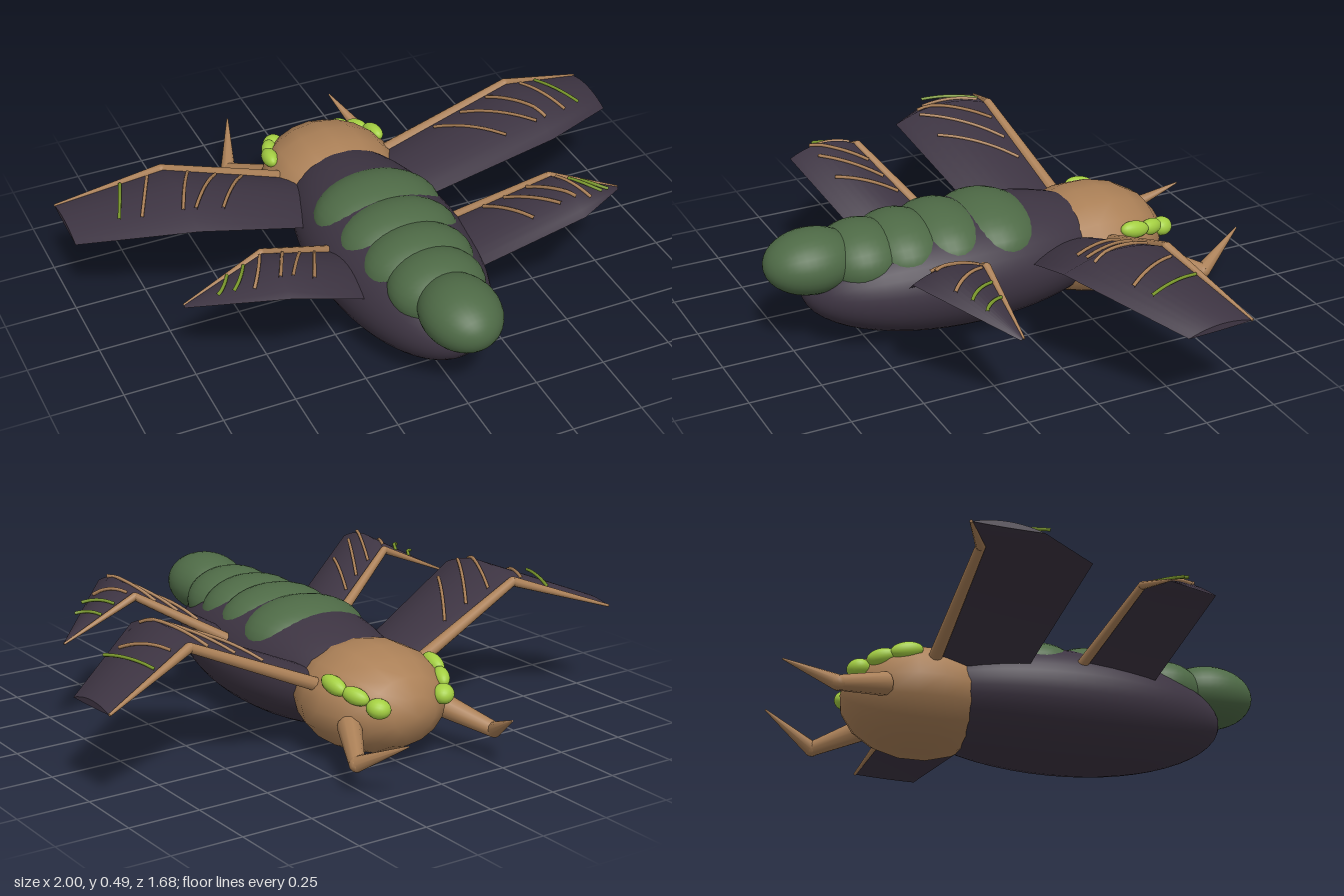
import * as THREE from 'three';

const mat = (name, color) => Object.assign(new THREE.MeshStandardMaterial({ color }), { name });
const V = (p) => new THREE.Vector3(...p);

export function createModel() {
  const shell = mat('dark shell', 0x3d3442);
  const moss = mat('moss green', 0x4e6a46);
  const tan = mat('tan', 0xab8057);
  const lime = mat('lime', 0xa4cf42);
  const olive = mat('olive', 0x7a982c);
  shell.side = THREE.DoubleSide;

  const model = new THREE.Group();
  model.name = 'flyingBeetle';

  const add = (parent, name, geo, material) => {
    const m = new THREE.Mesh(geo, material);
    m.name = name;
    parent.add(m);
    return m;
  };
  // Ellipsoid with its poles along z
  const blob = (parent, name, c, r, material, w = 32, h = 20) => {
    const g = new THREE.SphereGeometry(1, w, h).rotateX(Math.PI / 2).scale(...r);
    const m = add(parent, name, g, material);
    m.position.set(...c);
    return m;
  };
  // Tapered rod between two points
  const rod = (parent, name, a, b, ra, rb, material) => {
    const A = V(a), B = V(b), d = B.clone().sub(A);
    const m = add(parent, name, new THREE.CylinderGeometry(rb, ra, d.length(), 10), material);
    m.position.copy(A).add(B).multiplyScalar(0.5);
    m.quaternion.setFromUnitVectors(V([0, 1, 0]), d.normalize());
  };

  // Body, head and back plates
  blob(model, 'body', [0, 0.207, 0.13], [0.267, 0.205, 0.58], shell, 40, 28);
  blob(model, 'head', [0, 0.19, -0.354], [0.247, 0.184, 0.268], tan, 16, 9);
  [
    [0.04, 0.30, 0.225, 0.128, 0.18],
    [0.21, 0.303, 0.212, 0.128, 0.16],
    [0.36, 0.303, 0.192, 0.125, 0.155],
    [0.50, 0.308, 0.165, 0.117, 0.15],
    [0.675, 0.325, 0.132, 0.108, 0.163],
  ].forEach(([z, y, rx, ry, rz], i) =>
    blob(model, i < 4 ? 'backPlate' : 'tail', [0, y, z], [rx, ry, rz], moss));

  // Wing point: s runs over the stations, t from leading to trailing edge, arch scales the camber
  const wingPoint = (stations, s, t, arch, lift = 0) => {
    const i = Math.min(Math.floor(s), stations.length - 2);
    const f = s - i, a = stations[i], b = stations[i + 1];
    const p = V(a.lead).lerp(V(b.lead), f);
    p.lerp(V(a.trail).lerp(V(b.trail), f), t);
    p.y += 4 * t * (1 - t) * arch * THREE.MathUtils.lerp(a.camber, b.camber, f) + lift;
    return p;
  };

  // Wing panel: arched top, nearly flat underside and a tip cap
  const wingGeometry = (stations) => {
    const n = 10, pos = [], idx = [], row = n + 1, rows = stations.length;
    for (const arch of [1, -0.1]) {
      const base = pos.length / 3;
      for (let s = 0; s < rows; s++) {
        for (let k = 0; k <= n; k++) pos.push(...wingPoint(stations, s, k / n, arch).toArray());
      }
      for (let s = 0; s < rows - 1; s++) {
        for (let k = 0; k < n; k++) {
          const a = base + s * row + k, b = a + 1, c = a + row, d = c + 1;
          if (arch > 0) idx.push(a, b, c, b, d, c);
          else idx.push(a, c, b, b, c, d);
        }
      }
    }
    const cap = pos.length / 3;
    for (const arch of [1, -0.1]) {
      for (let k = 0; k <= n; k++) pos.push(...wingPoint(stations, rows - 1, k / n, arch).toArray());
    }
    for (let k = 0; k < n; k++) {
      const a = cap + k, b = a + 1, c = a + row, d = c + 1;
      idx.push(a, b, c, b, d, c);
    }
    const g = new THREE.BufferGeometry();
    g.setAttribute('position', new THREE.Float32BufferAttribute(pos, 3));
    g.setIndex(idx);
    g.computeVertexNormals();
    return g;
  };

  // Vein lines are given as s and t at the start, then s and t at the end
  const wings = {
    frontWing: {
      stations: [
        { lead: [0.18, 0.25, -0.345], trail: [0.18, 0.235, -0.04], camber: 0.045 },
        { lead: [0.65, 0.455, -0.29], trail: [0.65, 0.44, 0.08], camber: 0.04 },
        { lead: [1.0, 0.335, -0.40], trail: [1.0, 0.325, -0.17], camber: 0.02 },
      ],
      radii: [0.024, 0.017, 0.005],
      tan: [[0.4, 0.14, 0.74, 0.78], [0.61, 0.13, 0.96, 0.78], [0.82, 0.1, 1.06, 0.78], [1.16, 0.1, 1.4, 0.78]],
      olive: [[1.4, 0.06, 1.6, 0.84]],
    },
    rearWing: {
      stations: [
        { lead: [0.17, 0.25, 0.13], trail: [0.17, 0.235, 0.4], camber: 0.04 },
        { lead: [0.52, 0.455, 0.285], trail: [0.52, 0.45, 0.54], camber: 0.035 },
        { lead: [0.79, 0.335, 0.29], trail: [0.79, 0.33, 0.30], camber: 0.002 },
      ],
      radii: [0.02, 0.014, 0.004],
      tan: [[0.4, 0.12, 0.64, 0.75], [0.58, 0.12, 0.88, 0.72], [0.78, 0.1, 1.02, 0.72], [1.05, 0.1, 1.3, 0.8]],
      olive: [[1.25, 0.08, 1.52, 0.9], [1.45, 0.05, 1.68, 0.95]],
    },
  };

  const side = new THREE.Group();
  side.name = 'leftSide';
  for (const [name, w] of Object.entries(wings)) {
    const g = new THREE.Group();
    g.name = name;
    side.add(g);
    add(g, name + 'Panel', wingGeometry(w.stations), shell);
    // Leading-edge bone
    const pts = w.stations.map((s) => s.lead);
    for (let i = 0; i < 2; i++) rod(g, 'wingBone', pts[i], pts[i + 1], w.radii[i], w.radii[i + 1], tan);
    blob(g, 'wingJoint', pts[1], [w.radii[1], w.radii[1], w.radii[1]], tan, 12, 8);
    // Veins resting on the panel; the outer ones lift at their ends
    for (const [key, material, rise] of [['tan', tan, 0.004], ['olive', olive, 0.03]]) {
      for (const [s0, t0, s1, t1] of w[key]) {
        const line = [0, 0.2, 0.4, 0.6, 0.8, 1].map((f) => wingPoint(w.stations,
          THREE.MathUtils.lerp(s0, s1, f), THREE.MathUtils.lerp(t0, t1, f), 1, 0.004 + rise * f * f));
        add(g, 'wingVein', new THREE.TubeGeometry(new THREE.CatmullRomCurve3(line), 10, 0.006, 6), material);
      }
    }
  }

  // Row of eyes
  [
    [[0.2, 0.284, -0.435], [0.028, 0.03, 0.056], 0.1],
    [[0.172, 0.264, -0.515], [0.027, 0.029, 0.05], 0.4],
    [[0.13, 0.233, -0.583], [0.036, 0.033, 0.041], 0.7],
  ].forEach(([c, r, turn]) => {
    const e = blob(side, 'eye', c, r, lime, 20, 14);
    e.rotation.set(-0.2, turn, 0);
  });

  // Bent mandible
  const elbow = [0.275, 0.105, -0.67];
  rod(side, 'mandibleBase', [0.185, 0.162, -0.5], elbow, 0.041, 0.026, tan);
  blob(side, 'mandibleElbow', elbow, [0.027, 0.027, 0.027], tan, 12, 8);
  rod(side, 'mandibleTip', elbow, [0.205, 0.203, -0.845], 0.027, 0.003, tan);

  const mirrored = side.clone();
  mirrored.name = 'rightSide';
  mirrored.scale.x = -1;
  model.add(side, mirrored);
  return model;
}
